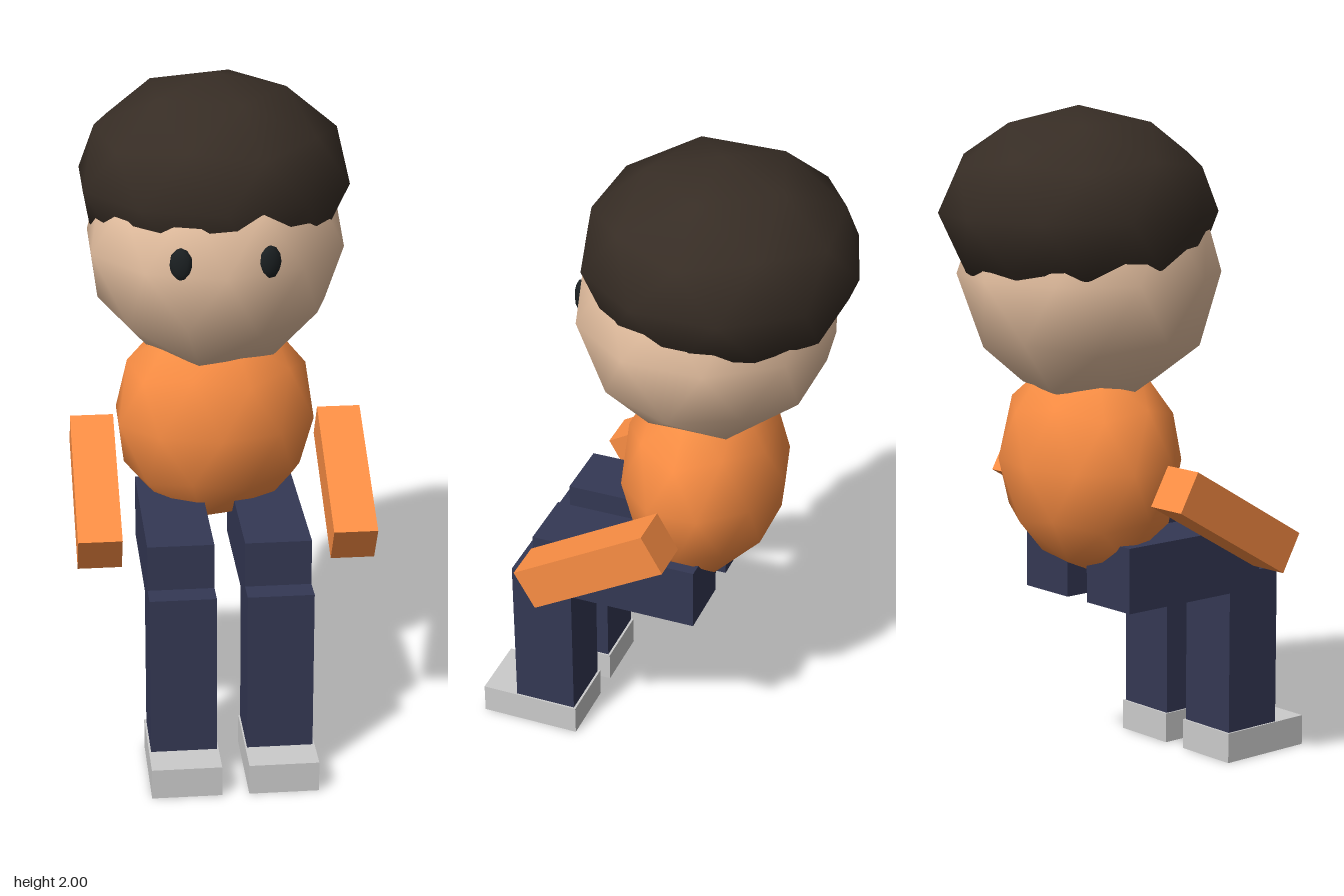
import * as THREE from 'three';

const paint = (color) => new THREE.MeshStandardMaterial({ color });

export function createModel() {
  const model = new THREE.Group();
  model.name = 'seatedFigure';

  const skin = paint(0xeac4a4);
  const hairColor = paint(0x372d25);
  const shirt = paint(0xfb8e44);
  const trousers = paint(0x343854);
  const eyeColor = paint(0x1b2022);
  const grey = paint(0xcccccc);

  // Low-poly ball with a vertex at the top and an upper-ring vertex towards +x
  const ball = new THREE.IcosahedronGeometry(1, 1);
  ball.rotateZ(-Math.atan(2 / (1 + Math.sqrt(5))));

  function add(parent, name, geometry, material, position) {
    const mesh = new THREE.Mesh(geometry, material);
    mesh.name = name;
    mesh.position.set(...position);
    parent.add(mesh);
    return mesh;
  }

  function addBall(name, material, position, radii) {
    const mesh = add(model, name, ball, material, position);
    mesh.scale.set(...radii);
    return mesh;
  }

  // Box given by its lower and upper corners
  function addBox(parent, name, material, a, b) {
    const size = a.map((v, i) => Math.abs(b[i] - v));
    const middle = a.map((v, i) => (b[i] + v) / 2);
    return add(parent, name, new THREE.BoxGeometry(...size), material, middle);
  }

  // Head, hair cap and torso
  addBall('head', skin, [0, 1.51, -0.1], [0.39, 0.39, 0.39]);
  addBall('hair', hairColor, [0, 1.69, -0.14], [0.41, 0.31, 0.41]);
  addBall('torso', shirt, [0, 0.953, -0.1], [0.31, 0.34, 0.25]);

  for (const [side, s] of [['left', 1], ['right', -1]]) {
    // Eye, turned to lie on the face
    const eye = addBall(side + 'Eye', eyeColor, [s * 0.127, 1.543, 0.241], [0.034, 0.05, 0.018]);
    eye.rotation.y = s * 0.25;

    // Arm, sloping forward and down
    const arm = add(model, side + 'Arm', new THREE.BoxGeometry(0.13, 0.13, 0.47), shirt,
      [s * 0.375, 0.798, 0.108]);
    arm.rotation.x = Math.PI / 6;

    // Bent leg with shoe
    const leg = new THREE.Group();
    leg.name = side + 'Leg';
    addBox(leg, 'thigh', trousers, [s * 0.045, 0.53, -0.15], [s * 0.241, 0.726, 0.37]);
    addBox(leg, 'shin', trousers, [s * 0.045, 0.09, 0.249], [s * 0.241, 0.587, 0.444]);
    addBox(leg, 'shoe', grey, [s * 0.04, 0, 0.242], [s * 0.247, 0.093, 0.555]);
    model.add(leg);
  }

  return model;
}
